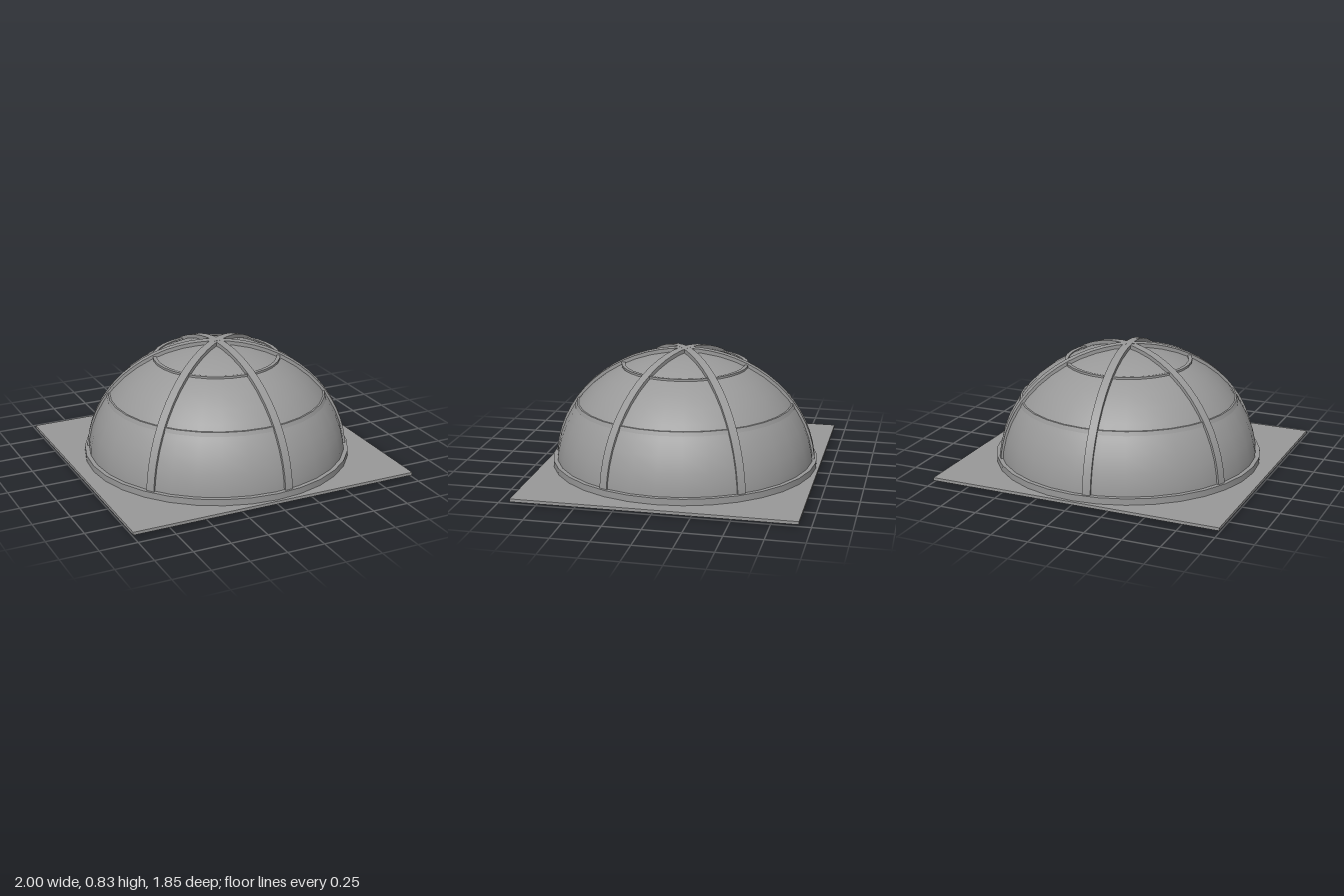
import * as THREE from 'three';
import { toCreasedNormals } from 'three/addons/utils/BufferGeometryUtils.js';

const CENTRE = 0.02; // height of the dome's equator
const SIDES = 32;
const CREASE = Math.PI / 6;

export function createModel() {
  const group = new THREE.Group();
  const material = new THREE.MeshStandardMaterial({ color: 0x999999 });
  const add = (name, geometry) => {
    const mesh = new THREE.Mesh(geometry, material);
    mesh.name = name;
    group.add(mesh);
    return mesh;
  };

  // Thin rectangular ground plate
  add('basePlate', new THREE.BoxGeometry(2, 0.02, 1.846)).position.y = 0.022;

  // Slightly flattened hemisphere
  const dome = add('dome', new THREE.SphereGeometry(1, SIDES, 12, 0, Math.PI * 2, 0, Math.PI / 2));
  dome.scale.set(0.88, 0.782, 0.88);
  dome.position.y = CENTRE;

  // A hoop with a rectangular section, its outer face leaning inwards at the top
  const hoop = (name, inner, outer, bottom, top, lean = 0) => {
    const profile = [
      [inner, bottom], [outer, bottom], [outer - lean, top], [inner, top], [inner, bottom],
    ].map(([r, y]) => new THREE.Vector2(r, y));
    return add(name, toCreasedNormals(new THREE.LatheGeometry(profile, SIDES), CREASE));
  };

  hoop('baseRing', 0.85, 0.905, 0.012, 0.075);
  hoop('middleHoop', 0.715, 0.748, 0.435, 0.461, 0.012);
  hoop('upperHoop', 0.405, 0.43, 0.706, 0.72);

  // Three full arches crossing at the crown, with feet reaching the ground
  const width = 0.055;
  const arc = (a, b) => Array.from({ length: SIDES + 1 }, (_, i) => {
    const t = (i / SIDES) * Math.PI;
    return new THREE.Vector2(a * Math.cos(t), CENTRE + b * Math.sin(t));
  });
  const arch = new THREE.Shape([
    new THREE.Vector2(0.89, 0), ...arc(0.89, 0.807), new THREE.Vector2(-0.89, 0),
    new THREE.Vector2(-0.865, 0), ...arc(0.865, 0.77).reverse(), new THREE.Vector2(0.865, 0),
  ]);
  const extruded = new THREE.ExtrudeGeometry(arch, { depth: width, bevelEnabled: false });
  const ribGeometry = toCreasedNormals(extruded.translate(0, 0, -width / 2), CREASE);
  for (const degrees of [84, 24, -36]) {
    add('rib', ribGeometry).rotation.y = -THREE.MathUtils.degToRad(degrees);
  }

  return group;
}
